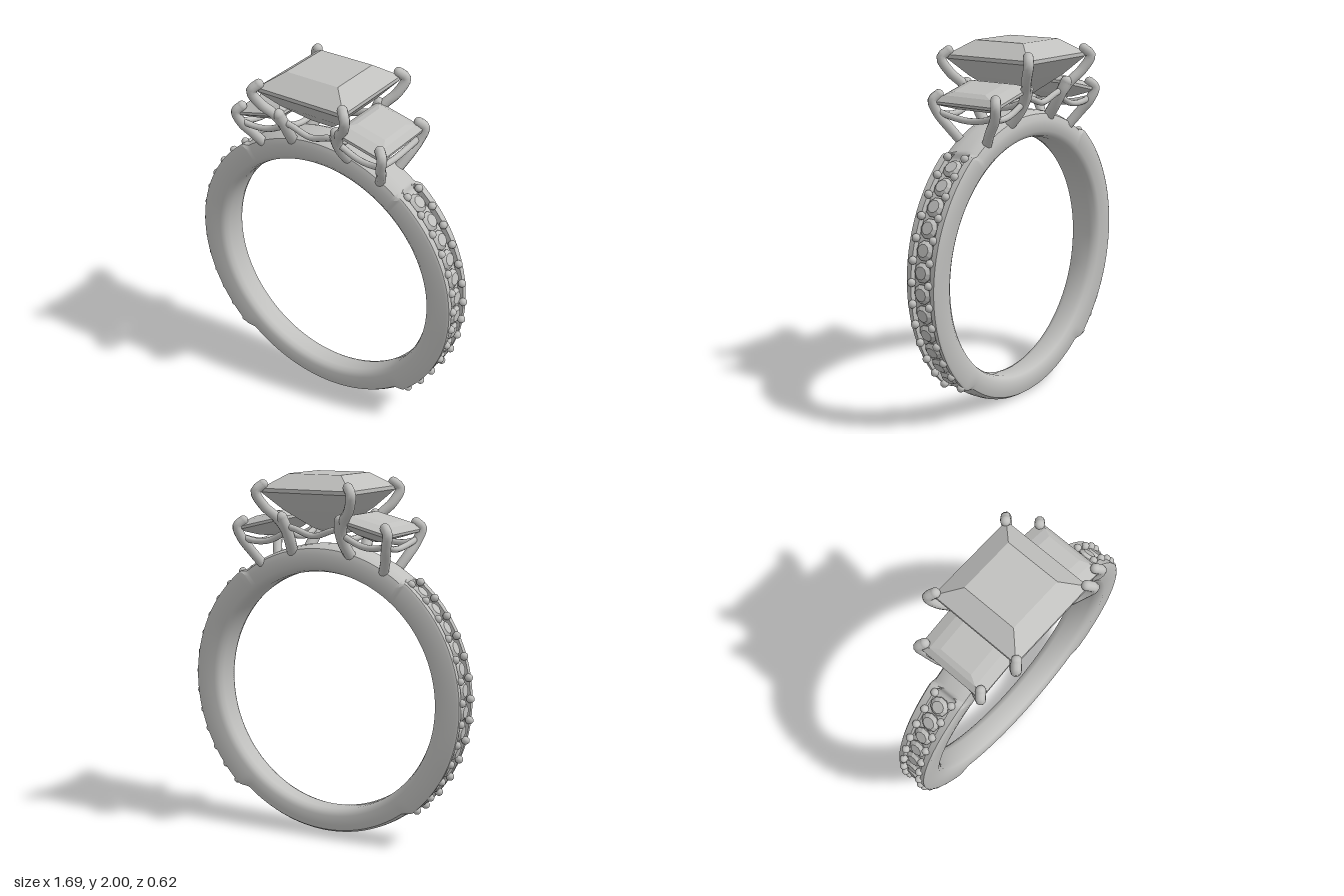
import * as THREE from 'three';
import { toCreasedNormals } from 'three/addons/utils/BufferGeometryUtils.js';

const CENTRE_Y = 0.805, INNER_R = 0.668, DEG = Math.PI / 180;
const STEP = 8.03, FIRST_BEAD = -45.7; // pave spacing in degrees

const silver = new THREE.MeshStandardMaterial({ color: 0xc0c0be });
silver.name = 'silver';

function addMesh(parent, name, geometry) {
  const mesh = new THREE.Mesh(geometry, silver);
  mesh.name = name;
  parent.add(mesh);
  return mesh;
}

// Half cross-section of the band, [radius, z], at an elevation in degrees
function bandProfile(elev) {
  const s = THREE.MathUtils.smoothstep;
  const t = s(elev, -52, -47) * (1 - s(elev, 51.5, 54));
  const w = 0.077 + 0.022 * (1 + Math.sin(elev * DEG)) * 0.8;
  const plainR = elev < 0 ? 0.805 : 0.815, ro = THREE.MathUtils.lerp(plainR, 0.82, t);
  const plain = [[ro - 0.05, w], [ro - 0.018, 0.88 * w], [ro - 0.004, 0.6 * w], [ro, 0.25 * w]];
  const pave = [[ro - 0.012, w], [ro, 0.93 * w], [ro, 0.062], [ro - 0.03, 0.06]];
  const half = [[INNER_R, 0.5 * w], [INNER_R + 0.01, 0.82 * w], [INNER_R + 0.035, w]];
  plain.forEach((p, i) => half.push(p.map((v, k) => THREE.MathUtils.lerp(v, pave[i][k], t))));
  return half;
}

// Band swept around the finger hole, with a groove for the small stones
function bandGeometry() {
  const pos = [], idx = [], N = 360;
  let m = 0;
  for (let i = 0; i < N; i++) {
    const a = i * DEG;
    const half = bandProfile(Math.asin(Math.sin(a)) / DEG);
    const loop = [...half, ...half.map(([r, z]) => [r, -z]).reverse()];
    m = loop.length;
    for (const [r, z] of loop) pos.push(r * Math.cos(a), CENTRE_Y + r * Math.sin(a), z);
  }
  for (let i = 0; i < N; i++) for (let j = 0; j < m; j++) {
    const i2 = (i + 1) % N, j2 = (j + 1) % m;
    const a = i * m + j, b = i * m + j2, c = i2 * m + j, d = i2 * m + j2;
    idx.push(a, b, d, a, d, c);
  }
  const g = new THREE.BufferGeometry();
  g.setAttribute('position', new THREE.Float32BufferAttribute(pos, 3));
  g.setIndex(idx);
  return toCreasedNormals(g, 0.7);
}

// Faceted rectangular stone from levels [y, halfX, halfZ], bottom to top
function gemGeometry(levels) {
  const pos = [], idx = [];
  for (const [y, x, z] of levels) pos.push(x, y, z, x, y, -z, -x, y, -z, -x, y, z);
  for (let l = 0; l < levels.length - 1; l++) for (let k = 0; k < 4; k++) {
    const a = l * 4 + k, b = l * 4 + (k + 1) % 4;
    idx.push(a, b, b + 4, a, b + 4, a + 4);
  }
  const top = (levels.length - 1) * 4;
  idx.push(top, top + 1, top + 2, top, top + 2, top + 3);
  let g = new THREE.BufferGeometry();
  g.setAttribute('position', new THREE.Float32BufferAttribute(pos, 3));
  g.setIndex(idx);
  g = g.toNonIndexed();
  g.computeVertexNormals();
  return g;
}

// Round wire through points, mirrored by sx and sz, with rounded ends
function addWire(parent, name, points, radius, sx = 1, sz = 1) {
  const pts = points.map(([x, y, z]) => new THREE.Vector3(x * sx, y, z * sz));
  const wire = new THREE.Group();
  wire.name = name;
  parent.add(wire);
  addMesh(wire, name + 'Wire', new THREE.TubeGeometry(new THREE.CatmullRomCurve3(pts), 28, radius, 10));
  for (const p of [pts[0], pts[pts.length - 1]]) {
    addMesh(wire, name + 'End', new THREE.SphereGeometry(radius, 12, 8)).position.copy(p);
  }
}

export function createModel() {
  const ring = new THREE.Group();
  ring.name = 'ring';
  addMesh(ring, 'band', bandGeometry());

  // Rows of small round stones with beads between them
  const roundStone = toCreasedNormals(new THREE.LatheGeometry([
    new THREE.Vector2(0.02, -0.03), new THREE.Vector2(0.053, -0.008), new THREE.Vector2(0.053, -0.002),
    new THREE.Vector2(0.034, 0.014), new THREE.Vector2(0, 0.014),
  ], 10), 0.1);
  const bead = new THREE.SphereGeometry(0.022, 12, 8);
  for (const sx of [1, -1]) {
    const row = new THREE.Group();
    row.name = sx > 0 ? 'leftPave' : 'rightPave';
    ring.add(row);
    const place = (mesh, deg, r, z) => {
      const a = deg * DEG;
      mesh.position.set(sx * r * Math.cos(a), CENTRE_Y + r * Math.sin(a), z);
      mesh.rotation.z = sx * (a - Math.PI / 2);
    };
    for (let i = 0; i < 13; i++) {
      const deg = FIRST_BEAD + i * STEP;
      for (const z of [-0.056, 0.056]) place(addMesh(row, 'bead', bead), deg, 0.822, z);
      if (i < 12) place(addMesh(row, 'smallStone', roundStone), deg + STEP / 2, 0.807, 0);
    }
  }

  // Large square centre stone
  addMesh(ring, 'centreStone', gemGeometry([
    [1.675, 0, 0], [1.71, 0.065, 0.065], [1.81, 0.18, 0.18],
    [1.905, 0.265, 0.265], [1.925, 0.265, 0.265], [2.0, 0.158, 0.156],
  ]));

  // Tilted stones on both sides
  const sideGem = gemGeometry([
    [-0.085, 0, 0.05], [-0.06, 0.07, 0.12], [-0.01, 0.148, 0.205],
    [0.005, 0.148, 0.205], [0.032, 0.115, 0.15], [0.044, 0.085, 0.1],
  ]);
  for (const sx of [1, -1]) {
    const gem = addMesh(ring, 'sideStone', sideGem);
    gem.position.set(sx * 0.312, 1.735, 0);
    gem.rotation.z = -sx * 0.24;

    for (const sz of [1, -1]) {
      addWire(ring, 'centreProng', [[0.255, 1.945, 0.26], [0.285, 1.91, 0.285], [0.255, 1.83, 0.25],
        [0.2, 1.765, 0.205], [0.168, 1.69, 0.165], [0.165, 1.62, 0.12], [0.18, 1.56, 0.08]], 0.027, sx, sz);
      addWire(ring, 'innerProng', [[0.178, 1.77, 0.2], [0.166, 1.72, 0.18],
        [0.165, 1.64, 0.135], [0.18, 1.56, 0.075]], 0.031, sx, sz);
      addWire(ring, 'outerProng', [[0.43, 1.74, 0.185], [0.455, 1.71, 0.205], [0.437, 1.64, 0.185],
        [0.41, 1.57, 0.135], [0.37, 1.49, 0.08]], 0.027, sx, sz);
      addWire(ring, 'sideRail', [[0.43, 1.645, 0.18], [0.36, 1.63, 0.165],
        [0.28, 1.638, 0.16], [0.17, 1.69, 0.165]], 0.017, sx, sz);
    }
    // Curved rails joining front and back prongs
    addWire(ring, 'outerCrossRail', [[0.435, 1.65, 0.185], [0.42, 1.625, 0.09],
      [0.415, 1.615, 0], [0.42, 1.625, -0.09], [0.435, 1.65, -0.185]], 0.017, sx);
    addWire(ring, 'innerCrossRail', [[0.17, 1.7, 0.17], [0.16, 1.665, 0.08],
      [0.157, 1.655, 0], [0.16, 1.665, -0.08], [0.17, 1.7, -0.17]], 0.017, sx);
  }
  for (const sz of [1, -1]) {
    addWire(ring, 'centreRail', [[-0.17, 1.725, 0.175], [-0.11, 1.71, 0.175], [0, 1.677, 0.17],
      [0.11, 1.71, 0.175], [0.17, 1.725, 0.175]], 0.017, 1, sz);
  }
  return ring;
}
